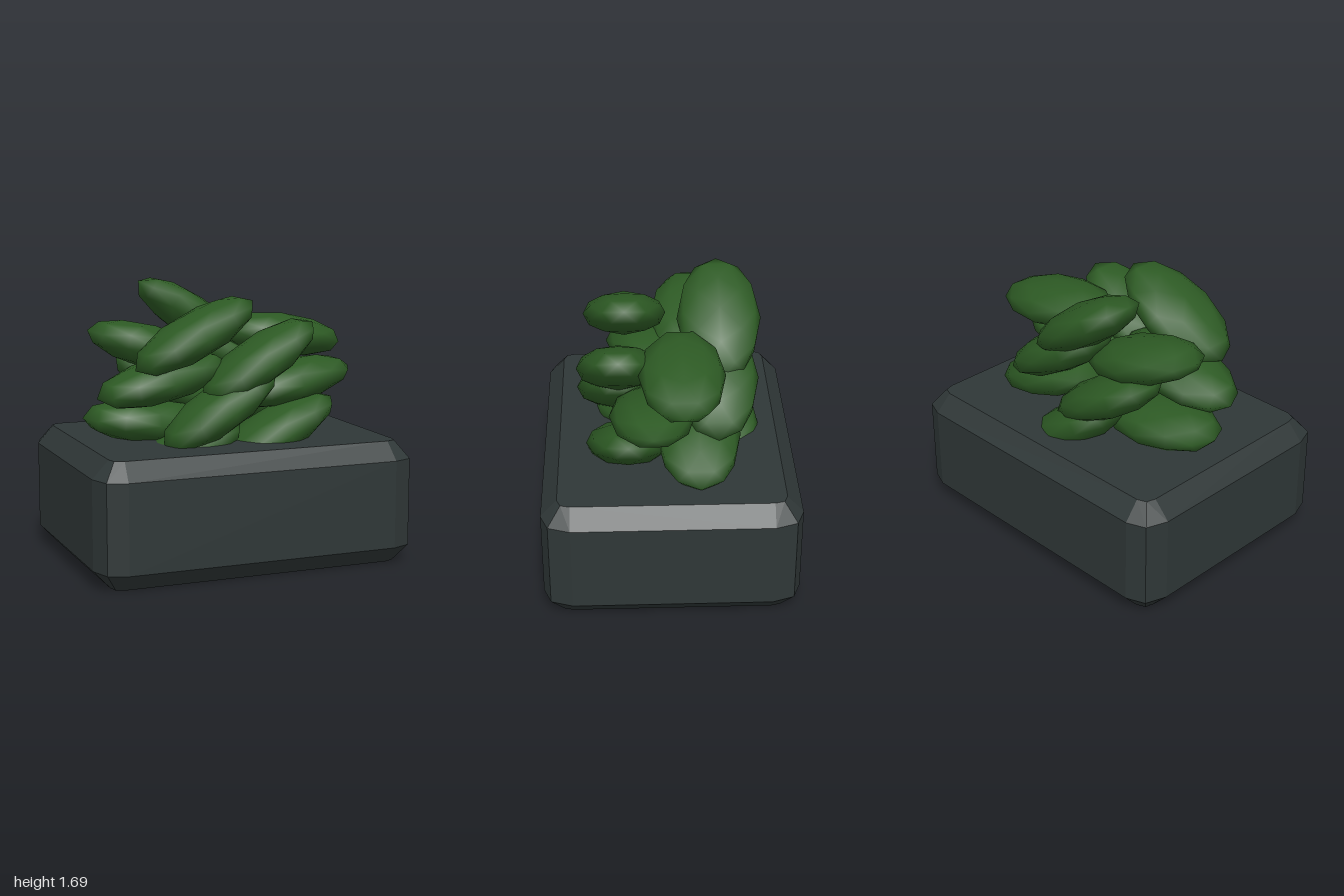
import * as THREE from 'three';
import { ConvexGeometry } from 'three/addons/geometries/ConvexGeometry.js';

const potGrey = new THREE.MeshStandardMaterial({ color: 0x2f3737 });
potGrey.name = 'slate grey';
const leafGreen = new THREE.MeshStandardMaterial({ color: 0x2d5a24 });
leafGreen.name = 'leaf green';

// Block planter: hull of four rounded-rectangle rings, giving bevelled edges
function makePot() {
  const wide = [[1, 0.59], [0.955, 0.72], [0.84, 0.765]];
  const narrow = [[0.9, 0.59], [0.885, 0.645], [0.83, 0.667]];
  const points = [];
  for (const [ring, y] of [[narrow, 0], [wide, 0.108], [wide, 0.642], [narrow, 0.748]]) {
    for (const [x, z] of ring) {
      for (const sx of [-1, 1]) {
        for (const sz of [-1, 1]) points.push(new THREE.Vector3(sx * x, y, sz * z));
      }
    }
  }
  const pot = new THREE.Mesh(new ConvexGeometry(points), potGrey);
  pot.name = 'planter';
  return pot;
}

// Plump leaves winding down a golden-angle spiral, each tipped along the turn
function makeFoliage() {
  const foliage = new THREE.Group();
  foliage.name = 'foliage';
  const leafGeometry = new THREE.IcosahedronGeometry(1, 1);
  for (let i = 0; i < 16; i++) {
    const angle = THREE.MathUtils.degToRad(-98 - 137.5 * i);
    const leaf = new THREE.Mesh(leafGeometry, leafGreen);
    leaf.name = `leaf${i + 1}`;
    leaf.scale.set(0.42, 0.135, 0.255);
    leaf.rotation.z = 0.59 * Math.sin(angle);
    leaf.position.set(0.45 * Math.cos(angle), 1.445 - 0.055 * i, 0.315 * Math.sin(angle));
    foliage.add(leaf);
  }
  return foliage;
}

export function createModel() {
  const model = new THREE.Group();
  model.name = 'pottedPlant';
  model.add(makePot(), makeFoliage());
  return model;
}
